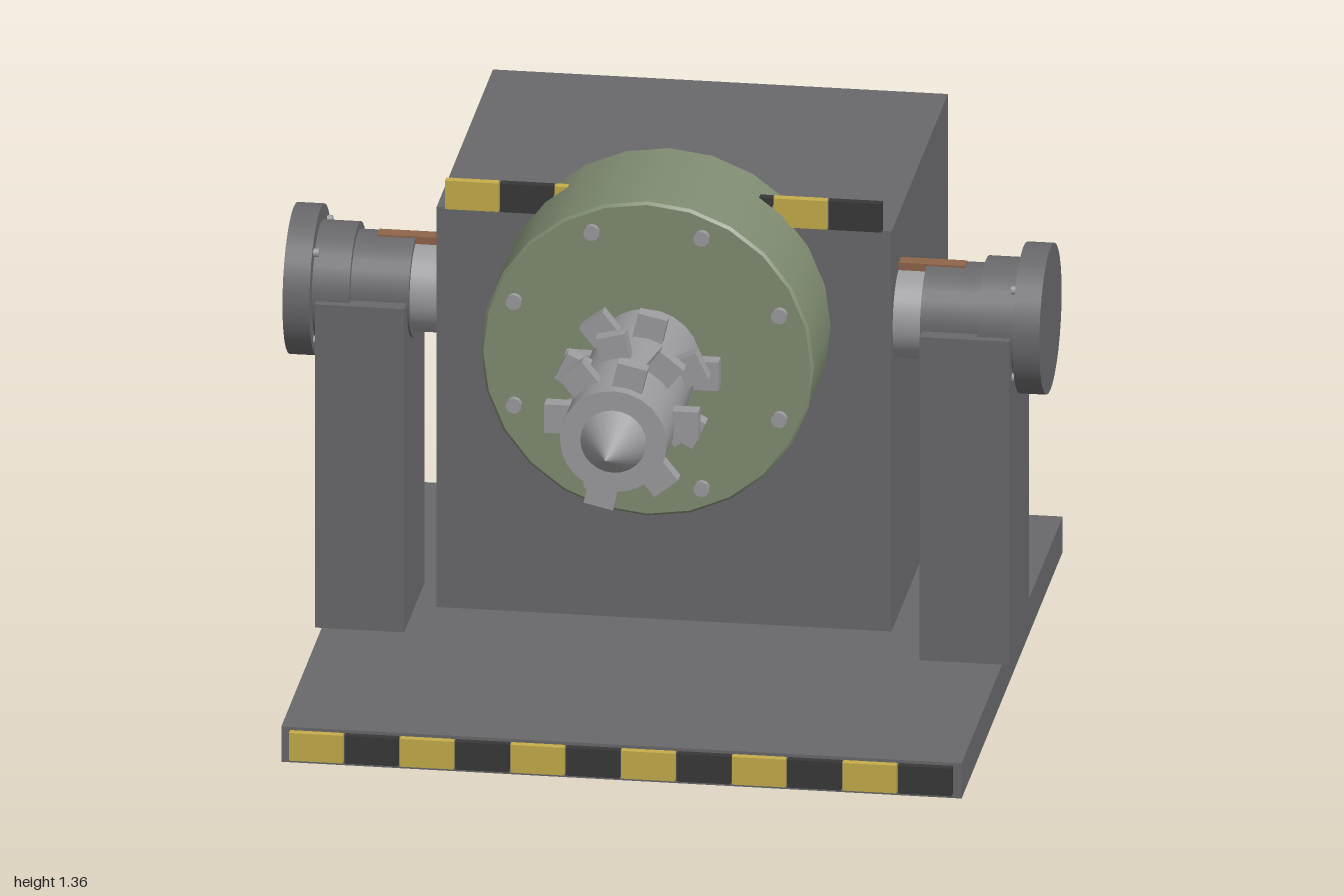
import * as THREE from 'three';

const mat = (name, color) => new THREE.MeshStandardMaterial({ name, color });

export function createModel() {
  const steel = mat('dark steel', 0x69696c);
  const bright = mat('bright steel', 0x9c9c9f);
  const green = mat('green paint', 0x808c72);
  const yellow = mat('hazard yellow', 0xc6ad4a);
  const black = mat('hazard black', 0x383838);
  const rust = mat('rusty brown', 0x90644a);

  const model = new THREE.Group();
  model.name = 'drillMachine';

  const add = (name, geometry, material, parent = model) => {
    const mesh = new THREE.Mesh(geometry, material);
    mesh.name = name;
    parent.add(mesh);
    return mesh;
  };
  // Box given by its minimum and maximum on each axis
  const box = (name, material, [x0, x1], [y0, y1], [z0, z1], parent) => {
    const g = new THREE.BoxGeometry(x1 - x0, y1 - y0, z1 - z0);
    g.translate((x0 + x1) / 2, (y0 + y1) / 2, (z0 + z1) / 2);
    return add(name, g, material, parent);
  };
  // Cylinder along z, or along x, between two positions
  const rodZ = (name, material, r, z0, z1, x, y, sides = 24, rFront = r, parent) => {
    const g = new THREE.CylinderGeometry(rFront, r, z1 - z0, sides);
    g.rotateX(Math.PI / 2).translate(x, y, (z0 + z1) / 2);
    return add(name, g, material, parent);
  };
  const rodX = (name, material, r, x0, x1, y, z, sides = 32, parent) => {
    const g = new THREE.CylinderGeometry(r, r, Math.abs(x1 - x0), sides);
    g.rotateZ(Math.PI / 2).translate((x0 + x1) / 2, y, z);
    return add(name, g, material, parent);
  };
  // Row of alternating yellow and black blocks
  const hazardRow = (name, count, pitch, y, z) => {
    const row = new THREE.Group();
    row.name = name;
    model.add(row);
    for (let i = 0; i < count; i++) {
      const x = (i - count / 2) * pitch;
      box('hazardBlock', i % 2 ? black : yellow, [x + 0.002, x + pitch - 0.002], y, z, row);
    }
  };

  const axisY = 0.945;
  const pivotZ = -0.115;

  // Base and main housing
  box('basePlate', steel, [-0.845, 0.845], [0, 0.093], [-0.958, 0.73]);
  box('housing', steel, [-0.565, 0.565], [0.15, 1.205], [-0.922, 0.018]);
  box('rearBar', rust, [-0.47, 0.47], [0.133, 0.248], [-1, -0.81]);
  hazardRow('baseStripes', 12, 0.1375, [0.012, 0.085], [0.728, 0.75]);
  hazardRow('topStripes', 8, 0.136, [1.205, 1.28], [0.008, 0.03]);

  // Support posts and trunnions on both sides
  for (const s of [1, -1]) {
    const side = new THREE.Group();
    side.name = s > 0 ? 'leftTrunnion' : 'rightTrunnion';
    model.add(side);
    const span = (a, b) => (s > 0 ? [a, b] : [-b, -a]);
    box('post', steel, span(0.64, 0.862), [0.093, axisY], [-0.282, 0.055], side);
    rodX('trunnionShaft', bright, 0.115, s * 0.55, s * 0.65, axisY, pivotZ, 32, side);
    rodX('trunnionSleeve', steel, 0.13, s * 0.635, s * 0.79, axisY, pivotZ, 32, side);
    rodX('trunnionCollar', steel, 0.148, s * 0.78, s * 0.88, axisY, pivotZ, 32, side);
    rodX('trunnionCap', steel, 0.187, s * 0.873, s * 0.94, axisY, pivotZ, 32, side);
    box('shaftKey', rust, span(0.56, 0.73), [1.052, 1.078], [-0.138, -0.098], side);
    for (let i = 0; i < 4; i++) {
      const a = Math.PI / 4 + (i * Math.PI) / 2;
      rodX('capBolt', bright, 0.011, s * 0.86, s * 0.876,
        axisY + 0.162 * Math.sin(a), pivotZ + 0.162 * Math.cos(a), 8, side);
    }
  }

  // Round gearbox with a slightly bevelled rim and a ring of bolts
  const rim = [[0, -0.075], [0.407, -0.075], [0.414, -0.068], [0.414, 0.296], [0.407, 0.303], [0, 0.303]];
  for (let i = 0; i < rim.length - 1; i++) {
    const pts = [rim[i], rim[i + 1]].map(([r, z]) => new THREE.Vector2(r, z));
    const ring = new THREE.LatheGeometry(pts, 24);
    ring.rotateX(Math.PI / 2).translate(0, axisY, 0);
    add('gearbox', ring, green);
  }
  for (let i = 0; i < 8; i++) {
    const a = Math.PI / 8 + (i * Math.PI) / 4;
    rodZ('gearboxBolt', bright, 0.02, 0.29, 0.318,
      0.357 * Math.cos(a), axisY + 0.357 * Math.sin(a), 10);
  }

  // Drill with a pointed tip
  const drill = new THREE.Group();
  drill.name = 'drill';
  model.add(drill);
  rodZ('drillShaft', bright, 0.133, 0.29, 0.866, 0, axisY, 24, 0.133, drill);
  rodZ('drillTip', bright, 0.082, 0.866, 1, 0, axisY, 24, 0, drill);

  // Cutting teeth: opposite pairs winding round the shaft
  for (let i = 0; i < 10; i++) {
    for (const half of [0, Math.PI]) {
      const a = Math.PI - (i * Math.PI * 2) / 7 + half;
      const tooth = add('tooth', new THREE.BoxGeometry(0.09, 0.075, 0.04), bright, drill);
      tooth.position.set(0.146 * Math.cos(a), axisY + 0.146 * Math.sin(a), 0.375 + i * 0.0487);
      tooth.rotation.z = a;
    }
  }
  return model;
}
